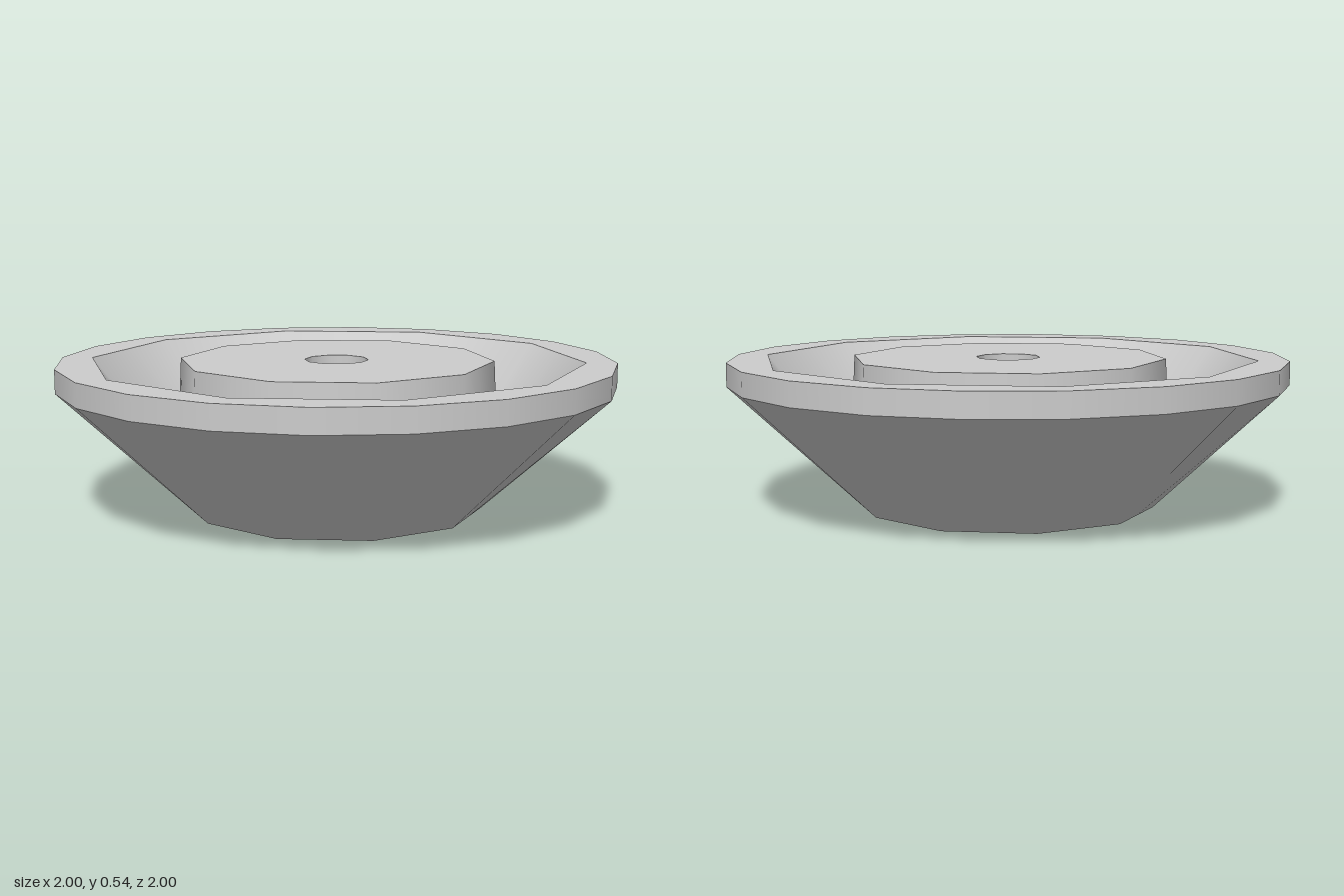
import * as THREE from 'three';

const STEPS = 20;

// One ring of 20 points; a ten-sided ring uses its edge midpoints as the odd points.
function ringPoints({ r, y, sides }) {
  const points = [];
  for (let i = 0; i < STEPS; i++) {
    const angle = Math.PI / 2 + (i / STEPS) * Math.PI * 2;
    const radius = sides === 10 && i % 2 ? r * Math.cos(Math.PI / 10) : r;
    points.push(radius * Math.cos(angle), y, radius * Math.sin(angle));
  }
  return points;
}

// Smooth band joining two rings, sharp at both of its edges.
function band(name, from, to, material) {
  const index = [];
  const normals = [];
  const slope = new THREE.Vector2(to.y - from.y, from.r - to.r).normalize();
  for (let i = 0; i < STEPS; i++) {
    const j = (i + 1) % STEPS;
    index.push(i, i + STEPS, j + STEPS, i, j + STEPS, j);
    const angle = Math.PI / 2 + (i / STEPS) * Math.PI * 2;
    normals.push(slope.x * Math.cos(angle), slope.y, slope.x * Math.sin(angle));
  }
  const geometry = new THREE.BufferGeometry();
  geometry.setAttribute('position',
    new THREE.Float32BufferAttribute([...ringPoints(from), ...ringPoints(to)], 3));
  geometry.setAttribute('normal',
    new THREE.Float32BufferAttribute([...normals, ...normals], 3));
  geometry.setIndex(index);
  const mesh = new THREE.Mesh(geometry, material);
  mesh.name = name;
  return mesh;
}

export function createModel() {
  const group = new THREE.Group();
  group.name = 'dish';
  const grey = new THREE.MeshStandardMaterial({ color: 0xcccccc });
  grey.name = 'plain grey';

  // Closed profile: each entry names the band from its ring to the next one.
  const profile = [
    { name: 'baseRing', r: 0.48, y: 0, sides: 10 },
    { name: 'outerWall', r: 0.525, y: 0, sides: 10 },
    { name: 'rimEdge', r: 1, y: 0.45, sides: 20 },
    { name: 'rimTop', r: 1, y: 0.535, sides: 20 },
    { name: 'bowlWall', r: 0.89, y: 0.535, sides: 10 },
    { name: 'hubWall', r: 0.585, y: 0.15, sides: 10 },
    { name: 'hubTop', r: 0.565, y: 0.538, sides: 10 },
    { name: 'centreHole', r: 0.115, y: 0.538, sides: 10 },
    { name: 'recessCeiling', r: 0.115, y: 0.36, sides: 10 },
    { name: 'recessWall', r: 0.235, y: 0.36, sides: 10 },
    { name: 'cavityCeiling', r: 0.235, y: 0.325, sides: 10 },
    { name: 'cavityWall', r: 0.48, y: 0.325, sides: 10 },
  ];
  profile.forEach((ring, i) => {
    group.add(band(ring.name, ring, profile[(i + 1) % profile.length], grey));
  });
  return group;
}
